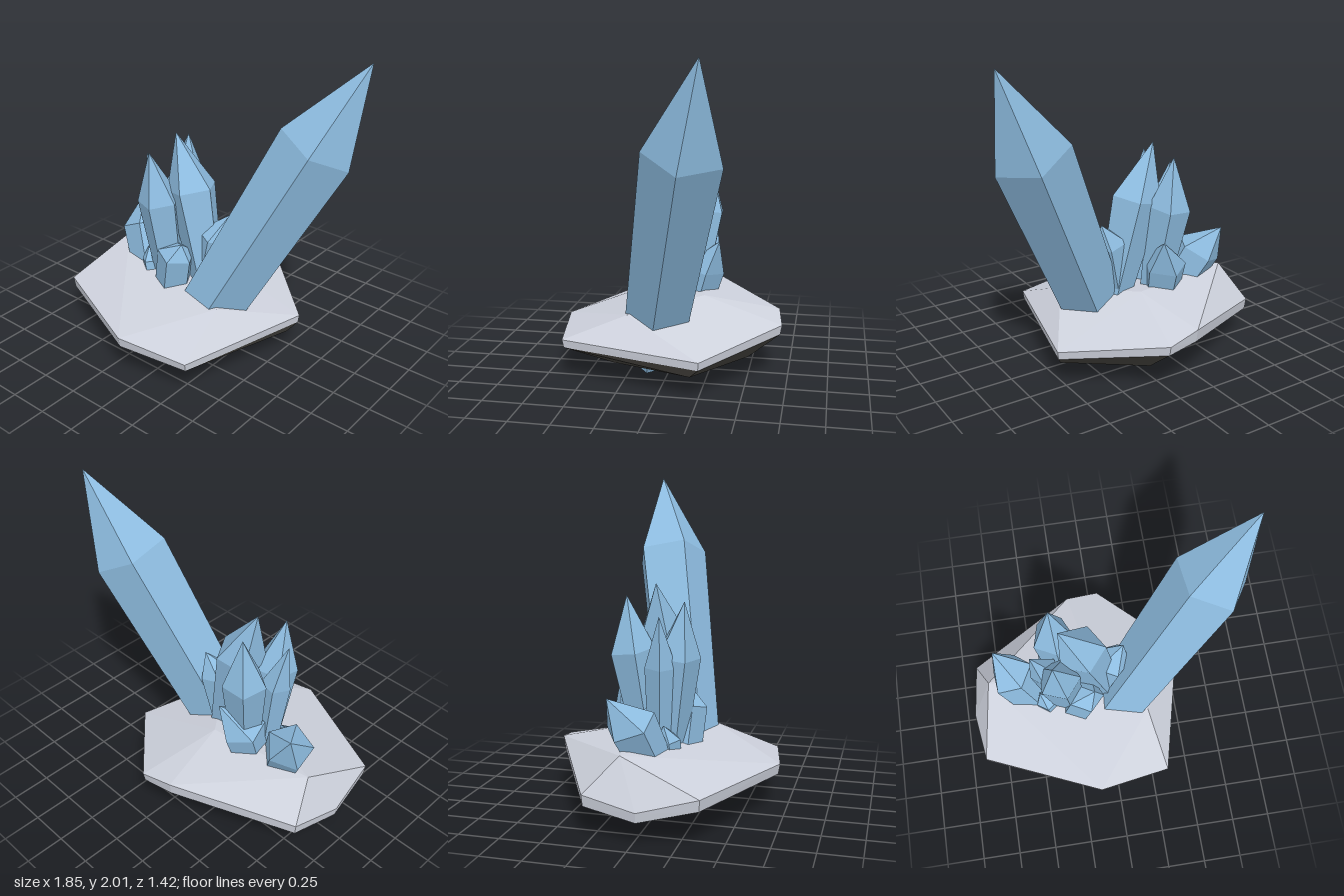
import * as THREE from 'three';
import { ConvexGeometry } from 'three/addons/geometries/ConvexGeometry.js';

const V = (p) => new THREE.Vector3(...p);

export function createModel() {
  const group = new THREE.Group();
  const material = (name, color) => {
    const m = new THREE.MeshStandardMaterial({ color, flatShading: true });
    m.name = name;
    return m;
  };
  const blue = material('crystal blue', 0x8ebde1);
  const grey = material('stone grey', 0xcdd1dc);
  const dark = material('underside dark', 0x46443f);

  // Faceted convex solid through a few corner points
  const solid = (name, points, mat) => {
    const mesh = new THREE.Mesh(new ConvexGeometry(points), mat);
    mesh.name = name;
    group.add(mesh);
  };

  // Rock rim: x, z, top height, bottom height
  const rim = [
    [-0.88, -0.30, 0.25, 0.18], [-0.17, -0.68, 0.37, 0.29], [0.05, -0.71, 0.33, 0.27],
    [0.56, -0.26, 0.24, 0.19], [0.34, 0.63, 0.25, 0.2], [-0.13, 0.71, 0.28, 0.215],
    [-0.88, 0.38, 0.28, 0.21], [-0.93, 0.03, 0.19, 0.13],
  ];
  const rimTop = rim.map(([x, z, t]) => V([x, t, z]));
  const rimBottom = rim.map(([x, z, , b]) => V([x * 0.99, b, z * 0.985]));
  const plateau = [[-0.79, 0.465, -0.1], [-0.08, 0.46, -0.2], [0.26, 0.41, 0.23]].map(V);
  const keel = [
    [-0.77, 0.09, 0.02], [-0.6, 0.1, 0.3], [-0.1, 0.07, 0.35], [0.25, 0.09, 0.32],
    [0.51, 0.13, -0.2], [0.05, 0.11, -0.5], [-0.3, 0.08, -0.2],
  ].map(V);
  solid('rockTop', [...plateau, ...rimTop, ...rimBottom], grey);
  solid('rockUnderside', [...rimBottom, ...keel], dark);

  // Five-sided crystal: base and shoulder rings plus a point; ref aims one edge
  const crystal = (name, base, shoulder, tip, radius, taper, ref) => {
    const a = V(base), b = V(shoulder);
    const axis = b.clone().sub(a).normalize();
    const u = V(ref).projectOnPlane(axis).normalize();
    const w = axis.clone().cross(u);
    const points = [V(tip)];
    for (let i = 0; i < 5; i++) {
      const t = (i / 5) * Math.PI * 2;
      const d = u.clone().multiplyScalar(Math.cos(t)).addScaledVector(w, Math.sin(t));
      points.push(b.clone().addScaledVector(d, radius));
      points.push(a.clone().addScaledVector(d, radius * taper));
    }
    solid(name, points, blue);
  };

  crystal('giantCrystal', [0.0, 0.09, 0.125], [0.666, 1.48, -0.19], [0.92, 2.0, -0.31], 0.243, 0.82, [0.084, 0.01, 0.23]);

  // Tall cluster
  crystal('tallCrystal', [0.08, 0.06, 0.0], [-0.15, 1.03, -0.03], [-0.28, 1.38, -0.03], 0.165, 0.5, [1, 0, 0.1]);
  crystal('frontTallCrystal', [-0.25, 0.05, 0.02], [-0.31, 0.95, 0.11], [-0.34, 1.285, 0.16], 0.14, 0.55, [0.25, 0, 1]);
  crystal('leftTallCrystal', [-0.3, 0.05, 0.0], [-0.39, 0.9, 0.03], [-0.47, 1.21, 0.04], 0.1, 0.6, [-1, 0, 0.2]);
  crystal('backTallCrystal', [-0.22, 0.06, -0.05], [-0.31, 0.98, -0.17], [-0.32, 1.31, -0.2], 0.14, 0.5, [0.6, 0, -1]);

  // Short crystals around the cluster
  crystal('leftSmallCrystal', [-0.36, 0.05, 0.08], [-0.62, 0.6, -0.09], [-0.72, 0.77, -0.2], 0.155, 0.75, [0.6, 0, 1]);
  crystal('frontSmallCrystal', [-0.26, 0.06, 0.09], [-0.15, 0.62, 0.13], [-0.09, 0.71, 0.15], 0.125, 0.95, [0.2, 0, 1]);
  crystal('rightSmallCrystal', [-0.1, 0.06, -0.01], [0.05, 0.76, -0.03], [0.13, 0.91, -0.07], 0.12, 0.65, [0.2, 0, 1]);
  crystal('backSmallCrystal', [-0.32, 0.06, -0.02], [-0.29, 0.59, -0.16], [-0.2, 0.79, -0.28], 0.145, 0.75, [1, 0, -0.3]);
  crystal('sideSmallCrystal', [-0.33, 0.05, 0.08], [-0.41, 0.47, 0.08], [-0.45, 0.56, 0.06], 0.075, 0.9, [0, 0, 1]);

  return group;
}
